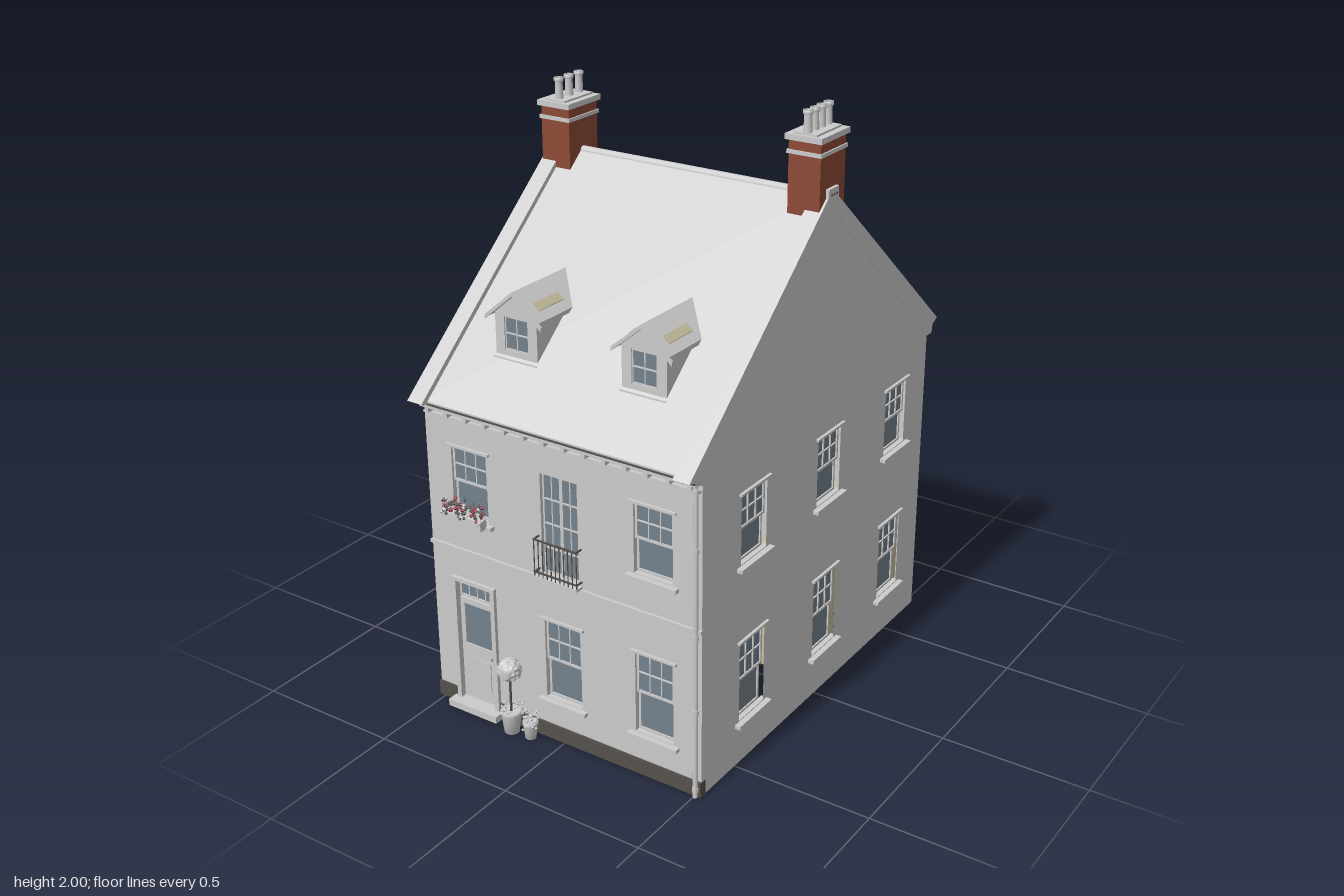
import * as THREE from 'three';

const mat = (color, side = THREE.FrontSide) => new THREE.MeshStandardMaterial({ color, side });
const GREY = mat(0xcccccc), BRICK = mat(0x8c4a36), GLASS = mat(0x74828c), DARK = mat(0x55504a);
const CREAM = mat(0xc4bd9c), FLOOR = mat(0x4a3020), RED = mat(0xa8364a), SOIL = mat(0x222222);
const LEAF = new THREE.MeshStandardMaterial({ color: 0xcccccc, flatShading: true });

let seed = 7;
const rnd = () => (seed = (seed * 16807) % 2147483647) / 2147483647;

function add(parent, name, geo, material = GREY, x = 0, y = 0, z = 0) {
  const m = new THREE.Mesh(geo, material);
  m.name = name;
  m.position.set(x, y, z);
  parent.add(m);
  return m;
}
function group(parent, name, x = 0, y = 0, z = 0) {
  const g = new THREE.Group();
  g.name = name;
  g.position.set(x, y, z);
  parent.add(g);
  return g;
}
// Box given by its limits
const box = (p, name, x0, x1, y0, y1, z0, z1, m = GREY) =>
  add(p, name, new THREE.BoxGeometry(x1 - x0, y1 - y0, z1 - z0), m, (x0 + x1) / 2, (y0 + y1) / 2, (z0 + z1) / 2);
const rod = (p, name, r, h, x, y, z, m = GREY, n = 10) =>
  add(p, name, new THREE.CylinderGeometry(r, r, h, n), m, x, y + h / 2, z);

// Extruded outline with rectangular holes [x, y, w, h]; x is the hole centre, y its bottom
function panel(points, holes, depth) {
  const s = new THREE.Shape(points.map(([x, y]) => new THREE.Vector2(x, y)));
  for (const [x, y, w, h] of holes) {
    s.holes.push(new THREE.Path([[x - w / 2, y], [x - w / 2, y + h], [x + w / 2, y + h], [x + w / 2, y]]
      .map(([a, b]) => new THREE.Vector2(a, b))));
  }
  return new THREE.ExtrudeGeometry(s, { depth, bevelEnabled: false });
}
const rect = (w, h) => [[-w / 2, 0], [w / 2, 0], [w / 2, h], [-w / 2, h]];

// Glazing bars around a grid of panes, with the glass behind
function glazing(p, name, x, y, z, w, h, cols, rows, edge = 0.008, bar = 0.004) {
  const pw = (w - 2 * edge - (cols - 1) * bar) / cols, ph = (h - 2 * edge - (rows - 1) * bar) / rows;
  const holes = [];
  for (let i = 0; i < cols; i++)
    for (let j = 0; j < rows; j++)
      holes.push([-w / 2 + edge + pw / 2 + i * (pw + bar), edge + j * (ph + bar), pw, ph]);
  add(p, name, panel(rect(w, h), holes, 0.008), GREY, x, y, z);
  box(p, 'glass', x - w / 2 + 0.002, x + w / 2 - 0.002, y + 0.002, y + h - 0.002, z - 0.002, z + 0.003, GLASS);
}

// Sash window on a wall whose outer face is z = 0
function sashWindow(wall, [x, y, w, h]) {
  const g = group(wall, 'sashWindow', x, y, 0);
  glazing(g, 'lowerSash', 0, 0, -0.025, w, h / 2 + 0.004, 1, 1);
  glazing(g, 'upperSash', 0, h / 2 - 0.004, -0.016, w, h / 2 + 0.004, 3, 2);
  box(g, 'sill', -w / 2 - 0.022, w / 2 + 0.022, -0.016, -0.003, -0.02, 0.02);
  box(g, 'hood', -w / 2 - 0.014, w / 2 + 0.014, h + 0.002, h + 0.01, -0.005, 0.01);
}
// Closed room seen through the open underside
function room(wall, x, w, depth, y0, y1) {
  const g = group(wall, 'room');
  box(g, 'roomWalls', x - w / 2, x + w / 2, y0, y1, -depth, -0.031, CREAM);
  box(g, 'roomFloor', x - w / 2, x + w / 2, y0 - 0.006, y0, -depth, -0.031, FLOOR);
}

// Chimney with stepped caps and a row of hollow pots
function chimney(house, x, top, potZ) {
  const g = group(house, 'chimney', x, 0, -0.02);
  box(g, 'stack', -0.055, 0.055, 1.66, top, -0.075, 0.075, BRICK);
  box(g, 'lowerBand', -0.06, 0.06, top - 0.045, top - 0.033, -0.08, 0.08);
  box(g, 'cap', -0.063, 0.063, top - 0.002, top + 0.016, -0.086, 0.086);
  box(g, 'flaunching', -0.04, 0.04, top + 0.016, top + 0.022, -0.075, 0.075);
  const profile = [[0.017, 0], [0.014, 0.015], [0.012, 0.07], [0.016, 0.074], [0.016, 0.085], [0.01, 0.085], [0.01, 0.04]]
    .map(([r, y]) => new THREE.Vector2(r, y));
  for (const z of potZ) {
    add(g, 'chimneyPot', new THREE.LatheGeometry(profile, 14), mat(0xcccccc, THREE.DoubleSide), 0, top + 0.005, z + 0.02);
    rod(g, 'potThroat', 0.01, 0.002, 0, top + 0.05, z + 0.02, SOIL);
  }
}

function dormer(house, x) {
  const g = group(house, 'dormer', x, 0, 0);
  add(g, 'dormerWalls', panel([[-0.08, 1.23], [0.08, 1.23], [0.08, 1.38], [0, 1.445], [-0.08, 1.38]],
    [[0, 1.26, 0.09, 0.11]], 0.36), GREY, 0, 0, 0.21);
  glazing(g, 'dormerWindow', 0, 1.26, 0.558, 0.09, 0.11, 2, 2, 0.004);
  box(g, 'dormerSill', -0.083, 0.083, 1.228, 1.236, 0.54, 0.582);
  const roof = (hw) => [[-hw, 1.46 - hw * 0.85], [0, 1.46], [hw, 1.46 - hw * 0.85], [hw, 1.446 - hw * 0.85], [0, 1.446], [-hw, 1.446 - hw * 0.85]].reverse();
  add(g, 'dormerRoof', panel(roof(0.096), [], 0.28), GREY, 0, 0, 0.3);
  add(g, 'bargeboard', panel(roof(0.108), [], 0.008), GREY, 0, 0, 0.578);
  for (const s of [-1, 1]) {
    const v = add(g, 'rooflight', new THREE.BoxGeometry(0.03, 0.006, 0.12), CREAM, s * 0.06, 1.412, 0.483);
    v.rotation.z = -s * Math.atan(0.85);
  }
}

// Pot with a spray of small leaves
function plantPot(p, x, z, r, h, leaves, spread) {
  const g = group(p, 'plantPot', x, 0, z);
  const pts = [[0, 0], [r * 0.7, 0], [r * 0.92, h * 0.85], [r, h * 0.86], [r, h], [r * 0.85, h], [0, h * 0.95]];
  add(g, 'pot', new THREE.LatheGeometry(pts.map(a => new THREE.Vector2(...a)), 16));
  for (let i = 0; i < leaves; i++) {
    const a = rnd() * 6.28, d = r * (0.4 + rnd() * 0.8);
    add(g, 'leaf', new THREE.OctahedronGeometry(0.006), LEAF, Math.cos(a) * d, h + (rnd() - 0.35) * spread, Math.sin(a) * d);
  }
  return g;
}

export function createModel() {
  const house = new THREE.Group();
  house.name = 'townHouse';
  const FZ = 0.69, BZ = -0.72;

  // Front wall with its openings
  const front = group(house, 'front', 0, 0, FZ);
  const frontSash = [[0, 0.15, 0.14, 0.285], [0.347, 0.15, 0.14, 0.285], [-0.35, 0.71, 0.14, 0.235], [0.347, 0.71, 0.14, 0.235]];
  const french = [0, 0.6, 0.14, 0.345], doorway = [-0.352, 0.025, 0.15, 0.445];
  add(front, 'frontWall', panel(rect(1.03, 1.09), [...frontSash, french, doorway], 0.03), GREY, 0, 0, -0.03);
  frontSash.forEach(w => sashWindow(front, w));
  glazing(front, 'frenchWindow', -0.035, 0.6, -0.02, 0.07, 0.345, 2, 4, 0.006);
  glazing(front, 'frenchWindow', 0.035, 0.6, -0.02, 0.07, 0.345, 2, 4, 0.006);
  room(front, 0, 0.3, 0.55, 0.03, 0.5);
  box(front, 'plinthLeft', -0.522, -0.44, 0, 0.052, -0.02, 0.008, DARK);
  box(front, 'plinthRight', -0.265, 0.522, 0, 0.052, -0.02, 0.008, DARK);
  box(front, 'stringCourse', -0.522, 0.522, 0.578, 0.59, -0.01, 0.01);

  // Door, fanlight, surround and step
  const door = group(front, 'door', -0.352, 0, 0);
  add(door, 'surround', panel(rect(0.175, 0.48), [[0, 0.02, 0.142, 0.447]], 0.018), GREY, 0, 0, -0.005);
  add(door, 'doorLeaf', panel(rect(0.144, 0.375), [[0, 0.205, 0.11, 0.15]], 0.012), GREY, 0, 0.025, -0.02);
  box(door, 'doorGlass', -0.058, 0.058, 0.225, 0.385, -0.019, -0.013, GLASS);
  box(door, 'doorBack', -0.07, 0.07, 0.03, 0.4, -0.04, -0.03, CREAM);
  box(door, 'lowerPanel', -0.045, 0.045, 0.07, 0.18, -0.012, -0.005);
  glazing(door, 'fanlight', 0, 0.405, -0.018, 0.144, 0.065, 4, 1, 0.007);
  add(door, 'knob', new THREE.SphereGeometry(0.006, 10, 8), DARK, 0.06, 0.205, -0.002);
  box(door, 'step', -0.1, 0.1, 0, 0.024, -0.03, 0.045);

  // Balcony railing
  const balcony = group(front, 'balcony');
  box(balcony, 'balconyFloor', -0.083, 0.083, 0.592, 0.6, 0, 0.03);
  for (const y of [0.612, 0.725]) {
    box(balcony, 'rail', -0.083, 0.083, y, y + 0.005, 0.024, 0.029, DARK);
    for (const s of [-0.083, 0.079]) box(balcony, 'sideRail', s, s + 0.004, y, y + 0.005, 0, 0.029, DARK);
  }
  for (let i = 0; i <= 10; i++) rod(balcony, 'baluster', 0.0018, 0.13, -0.081 + i * 0.0162, 0.6, 0.0265, DARK, 6);

  // Window box with flowers
  const flowers = group(front, 'windowBox', -0.355, 0.7, 0.03);
  box(flowers, 'trough', -0.078, 0.078, 0, 0.032, -0.015, 0.015);
  for (let i = 0; i < 110; i++)
    add(flowers, i % 4 ? 'leaf' : 'flower', new THREE.OctahedronGeometry(0.005 + rnd() * 0.003), i % 4 ? (i % 2 ? DARK : LEAF) : RED,
      (rnd() - 0.5) * 0.165, 0.025 + rnd() * 0.055, (rnd() - 0.4) * 0.035);

  // Cornice, dentils, gutter and downpipe
  box(front, 'cornice', -0.515, 0.515, 1.07, 1.082, -0.01, 0.03);
  box(front, 'cornice', -0.515, 0.515, 1.042, 1.05, -0.01, 0.012);
  for (let i = 0; i < 14; i++) box(front, 'dentil', -0.5 + i * 0.0755, -0.485 + i * 0.0755, 1.05, 1.07, 0, 0.022);
  const gutter = add(front, 'gutter', new THREE.CylinderGeometry(0.013, 0.013, 1.03, 12), DARK, 0, 1.092, 0.033);
  gutter.rotation.z = Math.PI / 2;
  rod(front, 'downpipe', 0.008, 1.08, 0.505, 0, 0.012);
  for (const y of [0.02, 0.3, 0.56, 0.85, 1.04]) rod(front, 'pipeCollar', 0.011, 0.015, 0.505, y, 0.012);

  // Back wall and fascia
  box(house, 'backWall', -0.515, 0.515, 0, 1.1, BZ, BZ + 0.03);
  box(house, 'backFascia', -0.465, 0.465, 1.05, 1.09, BZ - 0.03, BZ, CREAM);

  // Gable walls, windows and copings
  const ridgeZ = -0.012, slope = 0.855;
  const sideZ = [0.405, -0.05, -0.505];
  for (const s of [1, -1]) {
    const gable = group(house, s > 0 ? 'leftGable' : 'rightGable', s * 0.52, 0, 0);
    gable.rotation.y = s * Math.PI / 2;
    const holes = sideZ.flatMap(z => [[-s * z, 0.155, 0.145, 0.28], [-s * z, 0.71, 0.145, 0.235]]);
    const outline = [[FZ, 0], [FZ, 1.1], [ridgeZ, 1.745], [BZ, 1.1], [BZ, 0]].map(([z, y]) => [-s * z, y]);
    add(gable, 'gableWall', panel(outline, holes, 0.03), GREY, 0, 0, -0.03);
    holes.forEach(h => sashWindow(gable, h));
    sideZ.forEach((z, i) => { if (i) room(gable, -s * z, 0.26, 0.25, 0.1, 0.48); });
    const coping = [[FZ - 0.01, 1.07], [FZ + 0.01, 1.07], [FZ + 0.025, 1.085], [0.763, 1.1], [ridgeZ, 1.76], [-0.787, 1.1],
      [-0.755, 1.085], [-0.75, 1.055], [BZ + 0.01, 1.055], [BZ + 0.03, 1.08], [ridgeZ, 1.7]].map(([z, y]) => [-s * z, y]);
    add(gable, 'coping', panel(coping, [], 0.058), GREY, 0, 0, -0.055);
    box(gable, 'apexStone', -s * ridgeZ - 0.03, -s * ridgeZ + 0.03, 1.735, 1.765, -0.055, 0.006);
    for (const d of [-0.015, 0, 0.015]) box(gable, 'apexStud', -s * ridgeZ + d - 0.003, -s * ridgeZ + d + 0.003, 1.742, 1.748, 0.004, 0.009, DARK);
  }

  // Main roof and ridge
  const ry = z => 1.74 - slope * Math.abs(z - ridgeZ);
  const top = [0.735, ridgeZ, -0.755].map(z => [-z, ry(z)]);
  const roof = add(house, 'roof', panel([...top, ...top.map(([u, y]) => [u, y - 0.022]).reverse()], [], 0.96), GREY, -0.48);
  roof.rotation.y = Math.PI / 2;
  const ridge = add(house, 'ridgeTiles', new THREE.CylinderGeometry(0.015, 0.015, 0.95, 14), GREY, 0, 1.732, ridgeZ - 0.006);
  ridge.rotation.z = Math.PI / 2;

  chimney(house, -0.463, 1.884, [-0.075, -0.022, 0.031]);
  chimney(house, 0.46, 1.914, [-0.08, -0.04, 0, 0.04]);
  for (const x of [-0.237, 0.237]) dormer(house, x);

  // Clipped tree and a small pot by the door
  const tree = plantPot(house, -0.185, 0.735, 0.036, 0.08, 26, 0.04);
  tree.name = 'topiaryTree';
  rod(tree, 'trunk', 0.004, 0.13, 0, 0.07, 0, DARK, 8);
  const ball = new THREE.IcosahedronGeometry(0.039, 4), pos = ball.attributes.position, v = new THREE.Vector3();
  for (let i = 0; i < pos.count; i++) {
    v.fromBufferAttribute(pos, i);
    v.multiplyScalar(1 + 0.07 * Math.sin(v.x * 410) * Math.sin(v.y * 380 + 1) + 0.05 * Math.sin(v.z * 430));
    pos.setXYZ(i, v.x, v.y, v.z);
  }
  ball.computeVertexNormals();
  add(tree, 'foliage', ball, LEAF, 0, 0.232, 0);
  plantPot(house, -0.112, 0.73, 0.026, 0.06, 40, 0.06);

  return house;
}
